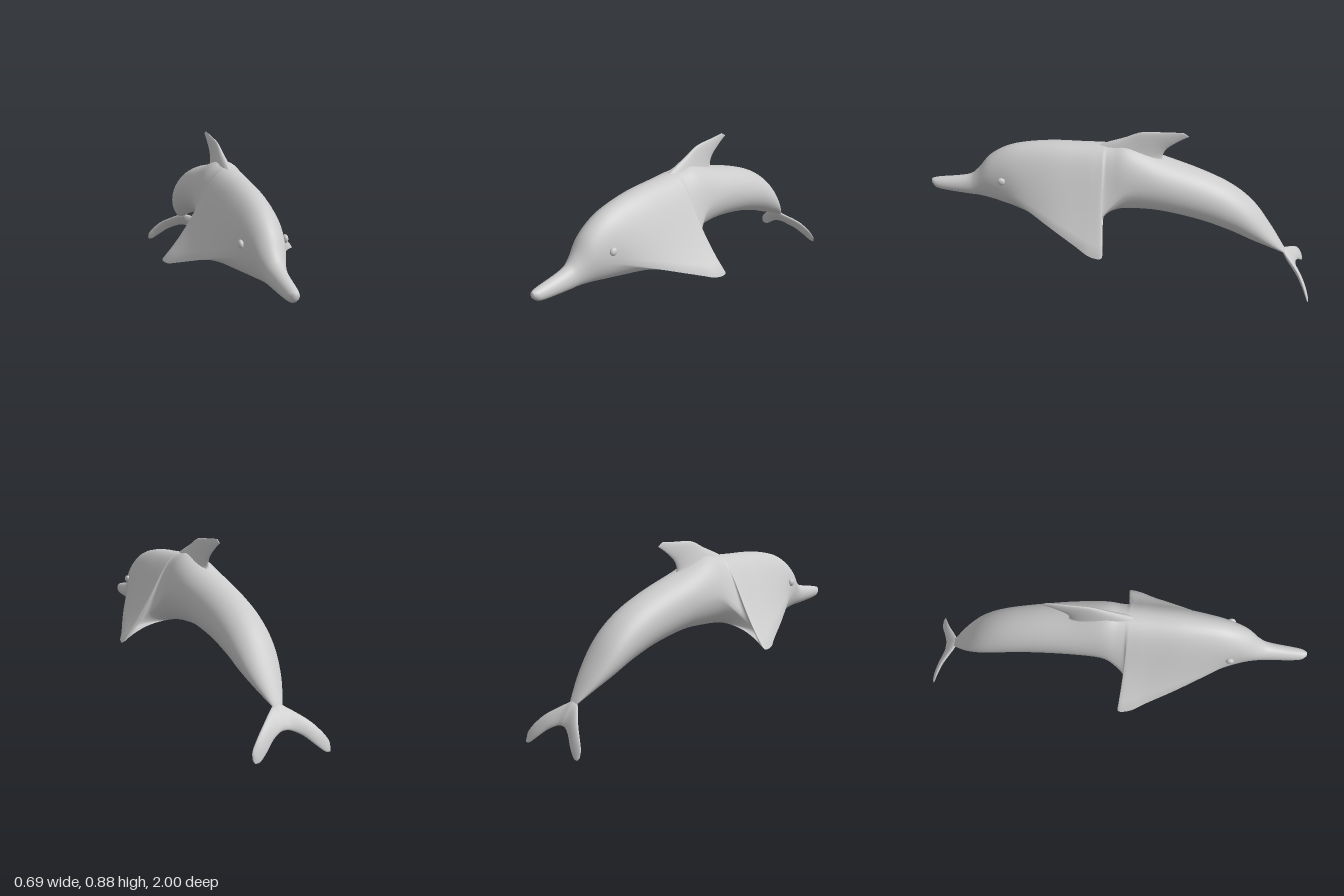
import * as THREE from 'three';

const V = (x, y, z) => new THREE.Vector3(x, y, z);
const spline = (pts) => new THREE.CatmullRomCurve3(pts, false, 'catmullrom', 0.5);
const material = new THREE.MeshStandardMaterial({ color: 0xcccccc });

// Skin a series of closed rings, closing each end at its centre
function loft(name, rings) {
  const centre = (r) => {
    const c = r.reduce((s, p) => s.add(p), V(0, 0, 0)).divideScalar(r.length);
    return r.map(() => c);
  };
  const all = [centre(rings[0]), ...rings, centre(rings[rings.length - 1])];
  const n = rings[0].length;
  const index = [];
  for (let i = 0; i < all.length - 1; i++) {
    for (let j = 0; j < n; j++) {
      const a = i * n + j, b = i * n + (j + 1) % n;
      index.push(a, b, a + n, b, b + n, a + n);
    }
  }
  const geo = new THREE.BufferGeometry().setFromPoints(all.flat());
  geo.setIndex(index);
  geo.computeVertexNormals();
  const mesh = new THREE.Mesh(geo, material);
  mesh.name = name;
  return mesh;
}

// Lens-section blade between a leading and a trailing edge
function blade(name, lead, trail, thickness, normal, steps) {
  const L = spline(lead), T = spline(trail);
  const rings = [];
  for (let i = 0; i <= steps; i++) {
    const t = i / steps, l = L.getPoint(t), r = T.getPoint(t), h = thickness(t);
    rings.push(Array.from({ length: 20 }, (_, j) => {
      const a = (j / 20) * Math.PI * 2;
      return l.clone().lerp(r, (1 - Math.cos(a)) / 2).addScaledVector(normal, h * Math.sin(a));
    }));
  }
  return loft(name, rings);
}

// A plain oval station: z, top y, bottom y, half width
const oval = ([z, top, bot, w]) => ({ profile: V(z, top, bot), edge: V(w, (top + bot) / 2, z), w });
// A chest station drawn out to a flipper edge point: z, then edge x, y, z
const chest = ([z, x, y, edgeZ]) => ({ profile: V(z, 0.8, 0.448), edge: V(x, y, edgeZ), w: 0.13 });

const head = [
  [0.998, 0.545, 0.515, 0.012], [0.96, 0.553, 0.488, 0.03], [0.81, 0.575, 0.468, 0.044],
  [0.75, 0.615, 0.463, 0.055], [0.68, 0.7, 0.45, 0.08],
].map(oval);

const brow = [
  { profile: V(0.59, 0.757, 0.433), edge: V(0.112, 0.55, 0.59), w: 0.108 },
  { profile: V(0.49, 0.785, 0.425), edge: V(0.165, 0.51, 0.49), w: 0.12 },
];

const flippers = [
  [0.35, 0.235, 0.445, 0.35], [0.21, 0.298, 0.38, 0.21], [0.14, 0.333, 0.35, 0.14],
  [0.11, 0.345, 0.345, 0.08], [0.09, 0.322, 0.365, 0.07], [0.08, 0.26, 0.42, 0.102],
  [0.07, 0.2, 0.48, 0.09], [0.04, 0.165, 0.54, 0.04], [-0.04, 0.142, 0.6, -0.04],
].map(chest);

const tail = [
  [-0.2, 0.735, 0.442, 0.132], [-0.4, 0.662, 0.397, 0.122], [-0.56, 0.583, 0.338, 0.115],
  [-0.68, 0.483, 0.28, 0.103], [-0.78, 0.345, 0.234, 0.073], [-0.87, 0.2, 0.184, 0.024],
].map(oval);

// Half section: one curve over the back to the side edge, one under the belly
function bodyRing({ x: z, y: top, z: bot }, edge, w) {
  const flare = THREE.MathUtils.clamp((edge.x - w) / 0.2, 0, 1);
  const upper = new THREE.CubicBezierCurve3(
    V(0, top, z), V(w * (0.55 + 0.35 * flare), top, z),
    V(w, edge.y + 0.55 * (top - edge.y), z), edge);
  const lower = new THREE.CubicBezierCurve3(
    edge,
    V(w + 0.42 * (edge.x - w), edge.y + (0.55 + 0.35 * flare) * (bot - edge.y), (z + edge.z) / 2),
    V(w * (0.55 + 0.25 * flare), bot, z), V(0, bot, z));
  const half = [...upper.getPoints(14), ...lower.getPoints(14).slice(1)];
  const mirrored = half.slice(1, -1).reverse().map((p) => V(-p.x, p.y, p.z));
  return [...half, ...mirrored];
}

function body() {
  const stations = [...head, ...brow, ...flippers, ...tail];
  const profile = spline(stations.map((s) => s.profile));
  const edge = spline(stations.map((s) => s.edge));
  const width = spline(stations.map((s) => V(s.w, 0, 0)));
  const steps = (stations.length - 1) * 5;
  const rings = [];
  for (let i = 0; i <= steps; i++) {
    const t = i / steps;
    rings.push(bodyRing(profile.getPoint(t), edge.getPoint(t), width.getPoint(t).x));
  }
  return loft('bodyWithFlippers', rings);
}

// Half a fluke edge (centre to tip) mirrored into a full span
const span = (half) => [
  ...half.slice(1).reverse().map((p) => V(-p.x, p.y, p.z)),
  ...half,
];

export function createModel() {
  const model = new THREE.Group();
  model.name = 'dolphin';
  model.add(body());

  // Swept-back fin on the back
  model.add(blade('dorsalFin',
    [V(0, 0.75, 0.2), V(0, 0.8, 0.11), V(0, 0.845, -0.01), V(0, 0.88, -0.1), V(0, 0.884, -0.22), V(0, 0.886, -0.3)],
    [V(0, 0.67, -0.26), V(0, 0.715, -0.222), V(0, 0.745, -0.203), V(0, 0.79, -0.222), V(0, 0.836, -0.28), V(0, 0.865, -0.33)],
    (t) => 0.003 + 0.047 * (1 - t) ** 1.6, V(1, 0, 0), 30));

  // Forked tail
  const lead = span([V(0, 0.205, -0.858), V(0.03, 0.193, -0.867), V(0.11, 0.14, -0.93),
    V(0.16, 0.092, -0.962), V(0.19, 0.05, -0.98), V(0.194, 0.018, -0.99)]);
  const trail = span([V(0, 0.105, -0.935), V(0.03, 0.1, -0.938), V(0.075, 0.078, -0.957),
    V(0.12, 0.04, -0.982), V(0.16, 0.008, -0.997), V(0.186, 0.003, -0.999)]);
  model.add(blade('tailFlukes', lead, trail,
    (t) => 0.014 - 0.012 * Math.abs(2 * t - 1) ** 2, V(0, -0.64, 0.77), 50));

  // Eyes
  for (const s of [1, -1]) {
    const eye = new THREE.Mesh(new THREE.SphereGeometry(0.02, 20, 14), material);
    eye.name = s > 0 ? 'leftEye' : 'rightEye';
    eye.scale.x = 0.65;
    eye.position.set(s * 0.106, 0.616, 0.602);
    model.add(eye);
  }
  return model;
}
